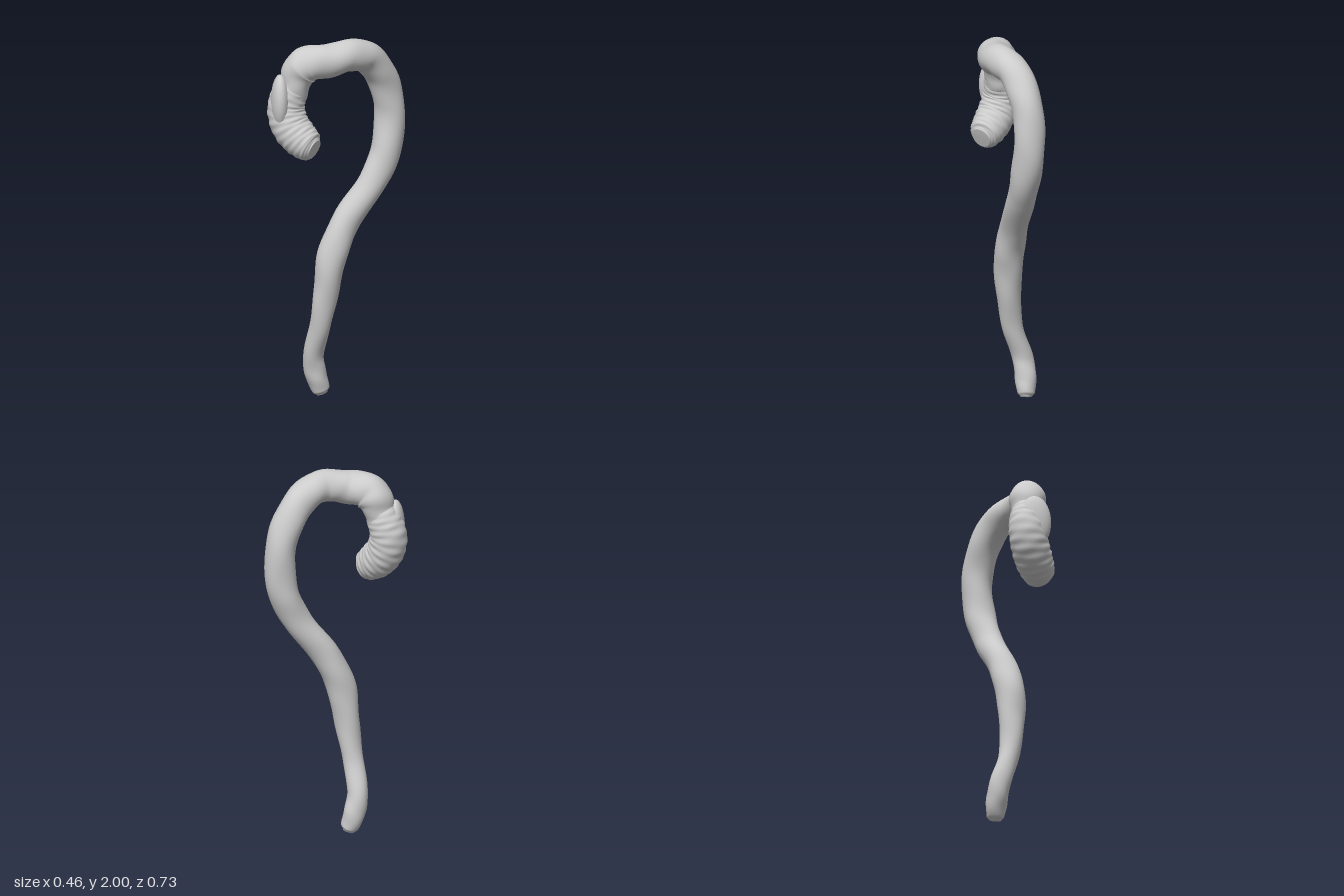
import * as THREE from 'three';

const material = new THREE.MeshStandardMaterial({ color: 0xcccccc });

// Sweeps a round section along stations of [x, y, z, radius]; both ends are capped.
function sweep(name, stations, steps, sides) {
  const path = new THREE.CatmullRomCurve3(stations.map(s => new THREE.Vector3(s[0], s[1], s[2])));
  const radii = new THREE.SplineCurve(stations.map((s, i) => new THREE.Vector2(i, s[3])));
  const pos = [], idx = [];
  const normal = new THREE.Vector3(1, 0, 0), binormal = new THREE.Vector3();
  for (let i = 0; i <= steps; i++) {
    const t = i / steps;
    const c = path.getPoint(t), tangent = path.getTangent(t), r = radii.getPoint(t).y;
    // carry the section frame along without twist
    normal.addScaledVector(tangent, -normal.dot(tangent)).normalize();
    binormal.crossVectors(tangent, normal);
    for (let j = 0; j < sides; j++) {
      const a = (j / sides) * Math.PI * 2;
      // gentle organic unevenness
      const k = r * (1 + 0.018 * Math.sin(t * 95 + 2 * a) + 0.015 * Math.sin(t * 60 - 3 * a));
      const p = c.clone().addScaledVector(normal, k * Math.cos(a)).addScaledVector(binormal, k * Math.sin(a));
      pos.push(p.x, p.y, p.z);
    }
  }
  for (let i = 0; i < steps; i++) {
    for (let j = 0; j < sides; j++) {
      const n = (j + 1) % sides;
      const a = i * sides + j, b = i * sides + n, c = a + sides, d = b + sides;
      idx.push(a, b, c, b, d, c);
    }
  }
  // end caps
  const first = pos.length / 3, last = first + 1, top = steps * sides;
  pos.push(...path.getPoint(0).toArray(), ...path.getPoint(1).toArray());
  for (let j = 0; j < sides; j++) {
    const n = (j + 1) % sides;
    idx.push(first, n, j, last, top + j, top + n);
  }
  const geo = new THREE.BufferGeometry();
  geo.setAttribute('position', new THREE.Float32BufferAttribute(pos, 3));
  geo.setIndex(idx);
  geo.computeVertexNormals();
  const mesh = new THREE.Mesh(geo, material);
  mesh.name = name;
  return mesh;
}

export function createModel() {
  const group = new THREE.Group();
  group.name = 'hookedVessel';

  // long stem, rising from the foot and curving over the arch
  group.add(sweep('stemAndArch', [
    [-0.085, 0.01, 0.005, 0.03],
    [-0.09, 0.03, 0.01, 0.047],
    [-0.105, 0.11, 0.03, 0.058],
    [-0.105, 0.22, 0.055, 0.056],
    [-0.045, 0.40, 0.07, 0.056],
    [-0.01, 0.60, 0.06, 0.068],
    [0.012, 0.80, 0.035, 0.080],
    [0.045, 0.98, -0.04, 0.076],
    [0.115, 1.18, -0.175, 0.076],
    [0.145, 1.36, -0.255, 0.083],
    [0.145, 1.58, -0.277, 0.082],
    [0.132, 1.76, -0.225, 0.085],
    [0.12, 1.88, -0.12, 0.086],
    [0.105, 1.912, 0, 0.086],
    [0.05, 1.895, 0.11, 0.090],
    [-0.03, 1.88, 0.18, 0.096],
    [-0.07, 1.84, 0.205, 0.097],
    [-0.09, 1.77, 0.22, 0.082],
    [-0.11, 1.70, 0.235, 0.085],
  ], 240, 32));

  // thick returning root below the arch end, ending in a blunt face
  group.add(sweep('root', [
    [-0.09, 1.80, 0.215, 0.07],
    [-0.115, 1.72, 0.235, 0.092],
    [-0.13, 1.63, 0.25, 0.100],
    [-0.10, 1.54, 0.25, 0.103],
    [-0.04, 1.475, 0.238, 0.099],
    [0.02, 1.435, 0.225, 0.082],
    [0.045, 1.425, 0.22, 0.055],
  ], 70, 32));

  // flattened outer lobe that stands up in front of the arch end
  const lobe = new THREE.Mesh(new THREE.SphereGeometry(1, 32, 24), material);
  lobe.name = 'outerLobe';
  lobe.scale.set(0.088, 0.15, 0.05);
  lobe.rotation.y = -Math.PI / 4;
  lobe.position.set(-0.13, 1.675, 0.298);
  group.add(lobe);

  return group;
}
